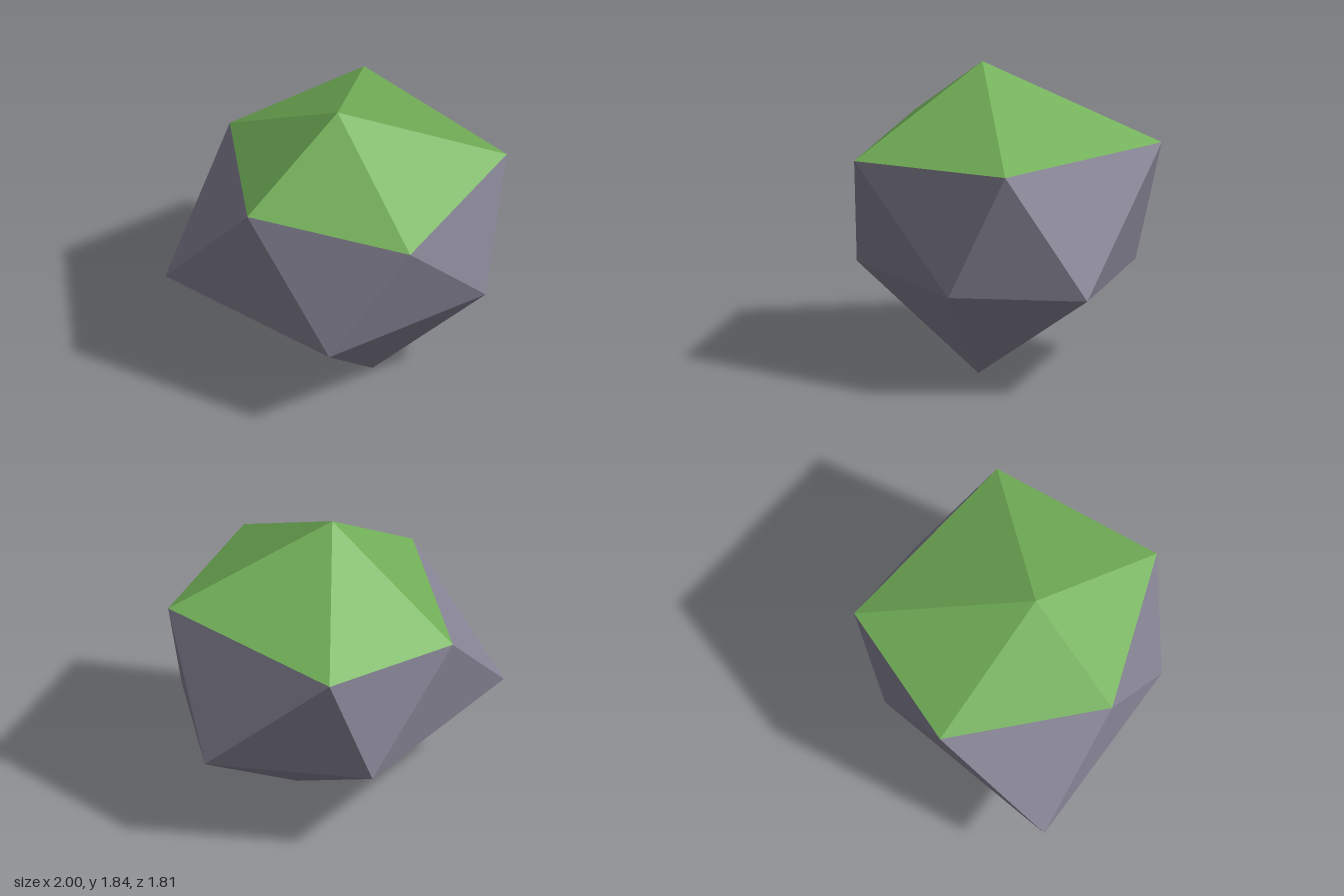
import * as THREE from 'three';

// Crown point, two staggered rings of five, and the foot point
const top = [0, 1.84, 0.12];
const upper = [[0.34, 1.35, 0.9], [1, 1.42, 0.07], [0.27, 1.4, -0.91], [-0.56, 1.32, -0.55], [-0.57, 1.385, 0.47]];
const lower = [[0.84, 0.65, 0.39], [0.9, 0.625, -0.42], [-0.02, 0.61, -0.78], [-1, 0.64, -0.01], [-0.13, 0.605, 0.845]];
const bottom = [0.2, 0, 0.16];

// Faceted mesh from a list of corner points, three per face
function facets(name, corners, material) {
  const geometry = new THREE.BufferGeometry();
  geometry.setAttribute('position', new THREE.Float32BufferAttribute(corners.flat(), 3));
  geometry.computeVertexNormals();
  const mesh = new THREE.Mesh(geometry, material);
  mesh.name = name;
  return mesh;
}

export function createModel() {
  const moss = new THREE.MeshStandardMaterial({ name: 'moss green', color: 0x72b058, flatShading: true });
  const stone = new THREE.MeshStandardMaterial({ name: 'stone grey', color: 0x8c899b, flatShading: true });

  const cap = [], body = [];
  for (let i = 0; i < 5; i++) {
    const j = (i + 1) % 5;
    cap.push(top, upper[i], upper[j]);
    // Zigzag band, then the pointed underside
    body.push(upper[i], lower[i], upper[j]);
    body.push(lower[i], lower[j], upper[j]);
    body.push(lower[i], bottom, lower[j]);
  }

  const rock = new THREE.Group();
  rock.name = 'mossyRock';
  rock.add(facets('mossCap', cap, moss), facets('stoneBody', body, stone));
  return rock;
}
